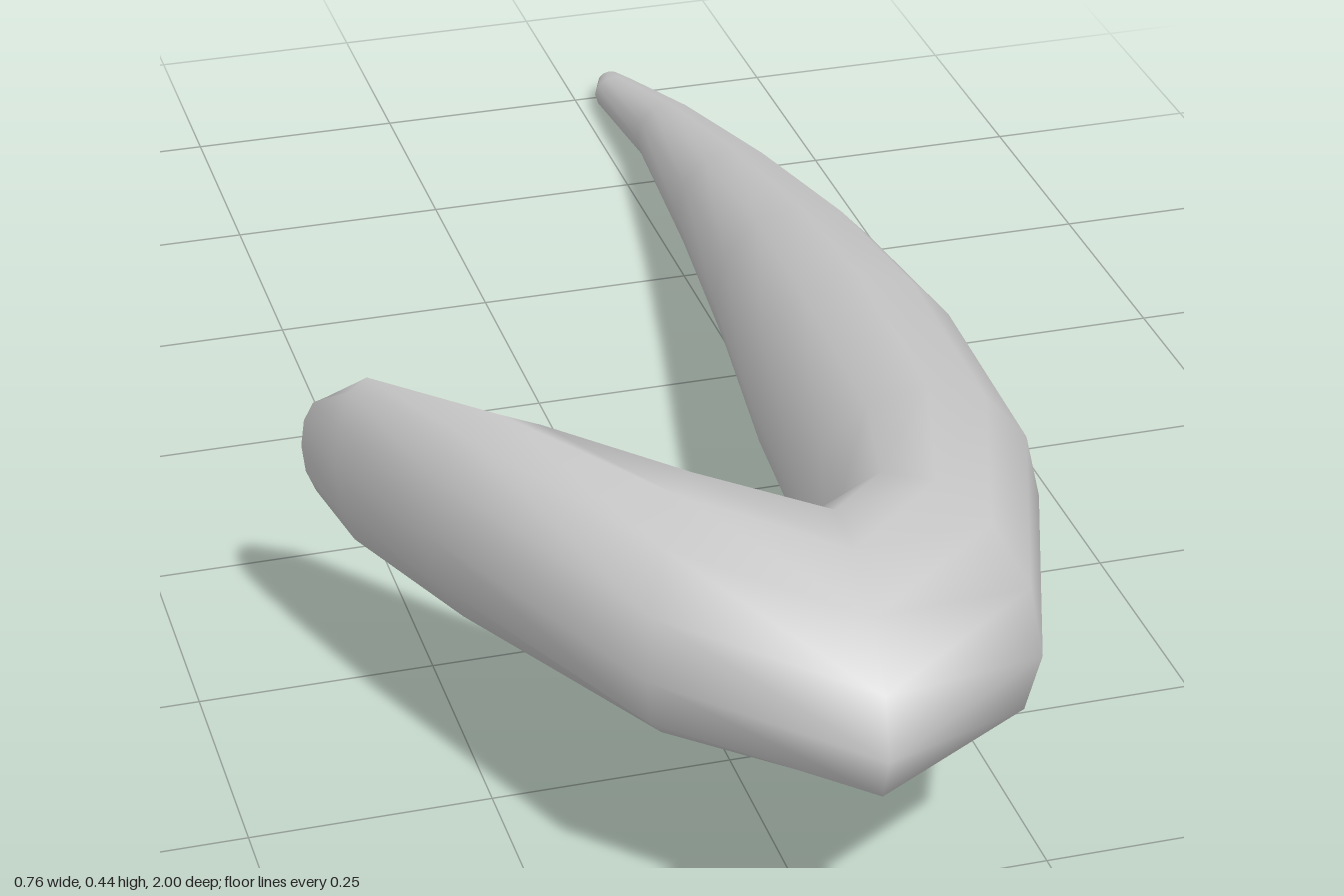
import * as THREE from 'three';

// Each cross-section: outer x, z | inner x, z | bottom y, top y
const SECTIONS = [
  // long tapering arm
  [0.31, -1.0, 0.28, -0.995, 0.015, 0.037],
  [0.325, -0.95, 0.266, -0.96, 0.0, 0.05],
  [0.347, -0.75, 0.262, -0.75, 0.02, 0.108],
  [0.366, -0.45, 0.224, -0.45, 0.036, 0.192],
  [0.378, -0.15, 0.178, -0.15, 0.056, 0.27],
  [0.373, 0.13, 0.132, 0.12, 0.072, 0.333],
  [0.33, 0.48, 0.09, 0.45, 0.11, 0.39],
  // bend
  [0.2, 0.83, 0.06, 0.6, 0.165, 0.437],
  [-0.01, 1.0, 0.04, 0.63, 0.225, 0.441],
  // short hooked arm
  [-0.18, 0.81, -0.05, 0.565, 0.21, 0.445],
  [-0.31, 0.47, -0.15, 0.48, 0.188, 0.43],
  [-0.36, 0.31, -0.29, 0.31, 0.195, 0.395],
  [-0.38, 0.24, -0.33, 0.265, 0.225, 0.345],
];
const SIDES = 12;

// Loft of elliptical rings, closed at both ends
function loft(sections) {
  const pos = [], index = [];
  const n = sections.length;
  for (const [ox, oz, ix, iz, y0, y1] of sections) {
    for (let j = 0; j < SIDES; j++) {
      const a = (j / SIDES) * Math.PI * 2;
      const t = (1 - Math.cos(a)) / 2; // 0 at the outer edge, 1 at the inner
      pos.push(ox + (ix - ox) * t, (y0 + y1) / 2 + Math.sin(a) * (y1 - y0) / 2, oz + (iz - oz) * t);
    }
  }
  for (let i = 0; i < n - 1; i++) {
    for (let j = 0; j < SIDES; j++) {
      const k = (j + 1) % SIDES;
      const a = i * SIDES + j, b = i * SIDES + k;
      const c = b + SIDES, d = a + SIDES;
      index.push(a, b, c, a, c, d);
    }
  }
  // end caps
  for (const [ring, flip] of [[0, true], [n - 1, false]]) {
    const [ox, oz, ix, iz, y0, y1] = sections[ring];
    const centre = pos.length / 3;
    pos.push((ox + ix) / 2, (y0 + y1) / 2, (oz + iz) / 2);
    for (let j = 0; j < SIDES; j++) {
      const a = ring * SIDES + j, b = ring * SIDES + (j + 1) % SIDES;
      index.push(centre, flip ? b : a, flip ? a : b);
    }
  }
  const g = new THREE.BufferGeometry();
  g.setAttribute('position', new THREE.Float32BufferAttribute(pos, 3));
  g.setIndex(index);
  g.computeVertexNormals();
  return g;
}

export function createModel() {
  const group = new THREE.Group();
  group.name = 'hook';
  const body = new THREE.Mesh(loft(SECTIONS), new THREE.MeshStandardMaterial({ color: 0xcccccc }));
  body.name = 'hookBody';
  group.add(body);
  return group;
}
